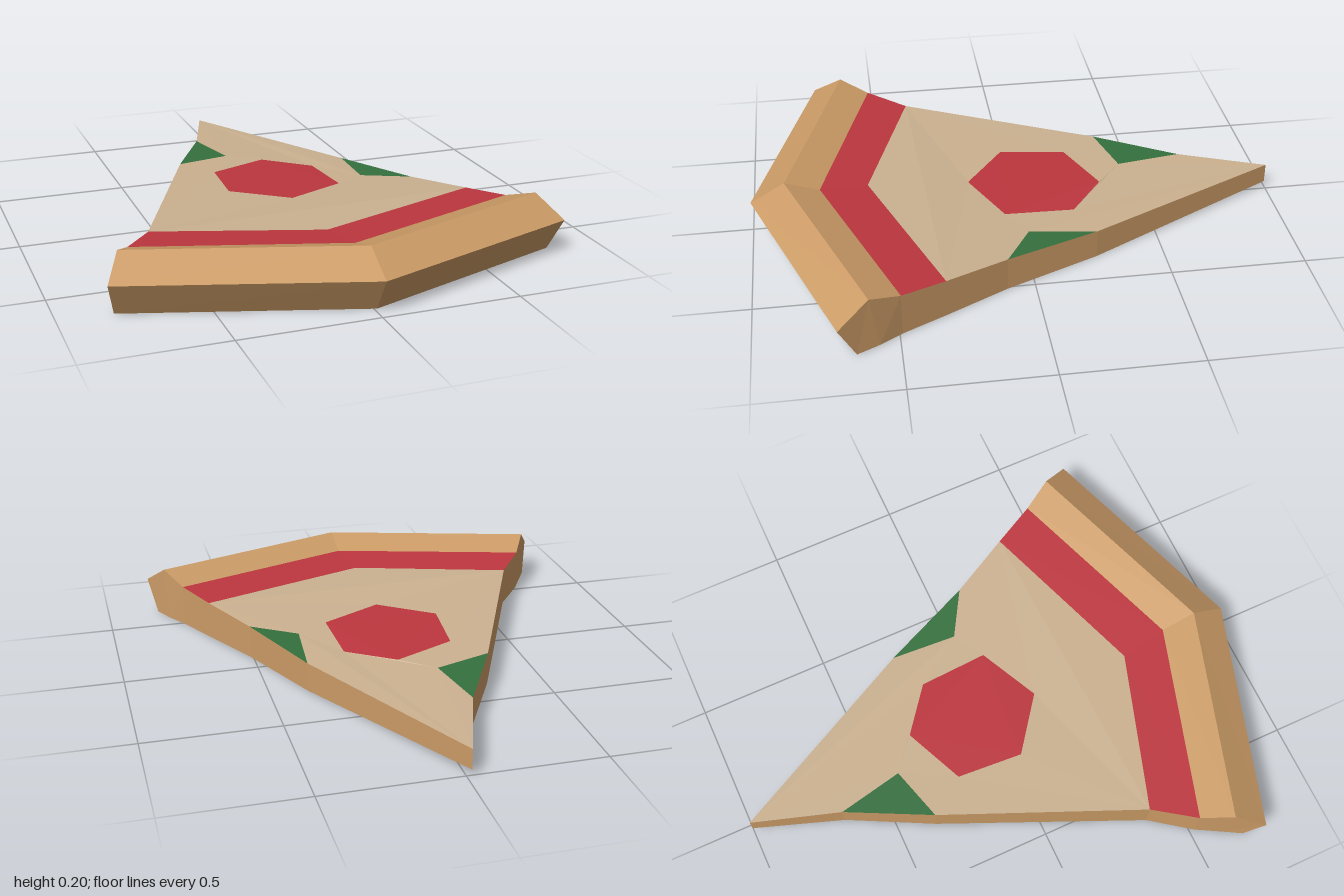
import * as THREE from 'three';

const paint = (name, color) => {
  const m = new THREE.MeshStandardMaterial({ color });
  m.name = name;
  return m;
};

// Unshared corners give flat facets
function facets(name, corners, material) {
  const g = new THREE.BufferGeometry();
  g.setAttribute('position', new THREE.Float32BufferAttribute(corners.flat(), 3));
  g.computeVertexNormals();
  const mesh = new THREE.Mesh(g, material);
  mesh.name = name;
  return mesh;
}

// Band of quads between two matching rows of points
function band(name, a, b, material) {
  const c = [];
  for (let i = 0; i < a.length - 1; i++) {
    c.push(a[i], a[i + 1], b[i + 1], a[i], b[i + 1], b[i]);
  }
  return facets(name, c, material);
}

// Filled outline seen from above, facing up or down
function cap(name, outline, material, up = true, hole = []) {
  const flat = (pts) => pts.map(([x, , z]) => new THREE.Vector2(x, z));
  const all = [...outline, ...hole];
  const c = [];
  for (const f of THREE.ShapeUtils.triangulateShape(flat(outline), hole.length ? [flat(hole)] : [])) {
    const [p, q, r] = f.map((i) => all[i]);
    const ny = (q[2] - p[2]) * (r[0] - p[0]) - (q[0] - p[0]) * (r[2] - p[2]);
    c.push(...(ny > 0 === up ? [p, q, r] : [p, r, q]));
  }
  return facets(name, c, material);
}

export function createModel() {
  const crust = paint('crust', 0xcb9b66);
  const cheese = paint('cheese', 0xcbb190);
  const sauce = paint('sauce', 0xbd363e);
  const pepper = paint('pepper', 0x35703e);

  // Rows across the slice: +x end, middle, -x end
  const sauceIn = [[0.63, 0.145, 0.33], [-0.02, 0.145, 0.56], [-0.61, 0.145, 0.37]];
  const sauceOut = [[0.71, 0.16, 0.49], [0.01, 0.16, 0.74], [-0.72, 0.16, 0.52]];
  const crest = [[0.77, 0.2, 0.6], [0.01, 0.2, 0.87], [-0.78, 0.2, 0.63]];
  const rim = [[0.83, 0.125, 0.71], [0.01, 0.125, 1], [-0.84, 0.125, 0.74]];
  const foot = [[0.8, 0, 0.65], [0.01, 0, 0.93], [-0.81, 0, 0.68]];

  // Tip, topping corners along both edges
  const tip = [-0.02, 0.095, -1];
  const leafA = [[-0.29, 0.122, -0.36], [-0.08, 0.115, -0.42], [-0.13, 0.108, -0.67]];
  const leafB = [[0.36, 0.11, -0.25], [0.34, 0.12, 0], [0.51, 0.127, 0.1]];
  const disc = [
    [0.04, 0.117, -0.32], [0.21, 0.113, -0.19], [0.22, 0.124, 0.07],
    [-0.01, 0.13, 0.18], [-0.21, 0.13, 0.03], [-0.19, 0.122, -0.22],
  ];

  // Side edges and the matching lower edges
  const sideA = [rim[2], crest[2], sauceOut[2], sauceIn[2], leafA[0], leafA[2], tip];
  const sideB = [tip, leafB[0], leafB[2], sauceIn[0], sauceOut[0], crest[0], rim[0]];
  const under = (p) => [p[0], p === tip ? 0.02 : 0, p[2]];
  const lowA = sideA.map(under);
  const lowB = sideB.map(under);
  lowA[0] = foot[2];
  lowA[1] = [-0.77, 0, 0.61];
  lowB[6] = foot[0];
  lowB[5] = [0.76, 0, 0.57];

  const model = new THREE.Group();
  model.name = 'pizzaSlice';
  model.add(
    band('crustInnerSlope', sauceOut, crest, crust),
    band('crustOuterSlope', crest, rim, crust),
    band('crustFront', rim, foot, crust),
    band('sideWallA', sideA, lowA, crust),
    band('sideWallB', sideB, lowB, crust),
    cap('base', [foot[1], ...lowA, ...lowB.slice(1)], crust, false),
    band('sauceBand', sauceIn, sauceOut, sauce),
    cap('cheeseTop', [...sauceIn, ...leafA, tip, ...leafB], cheese, true, disc),
    cap('sausageDisc', disc, sauce),
    cap('pepperPieceA', leafA, pepper),
    cap('pepperPieceB', leafB, pepper),
  );
  return model;
}
